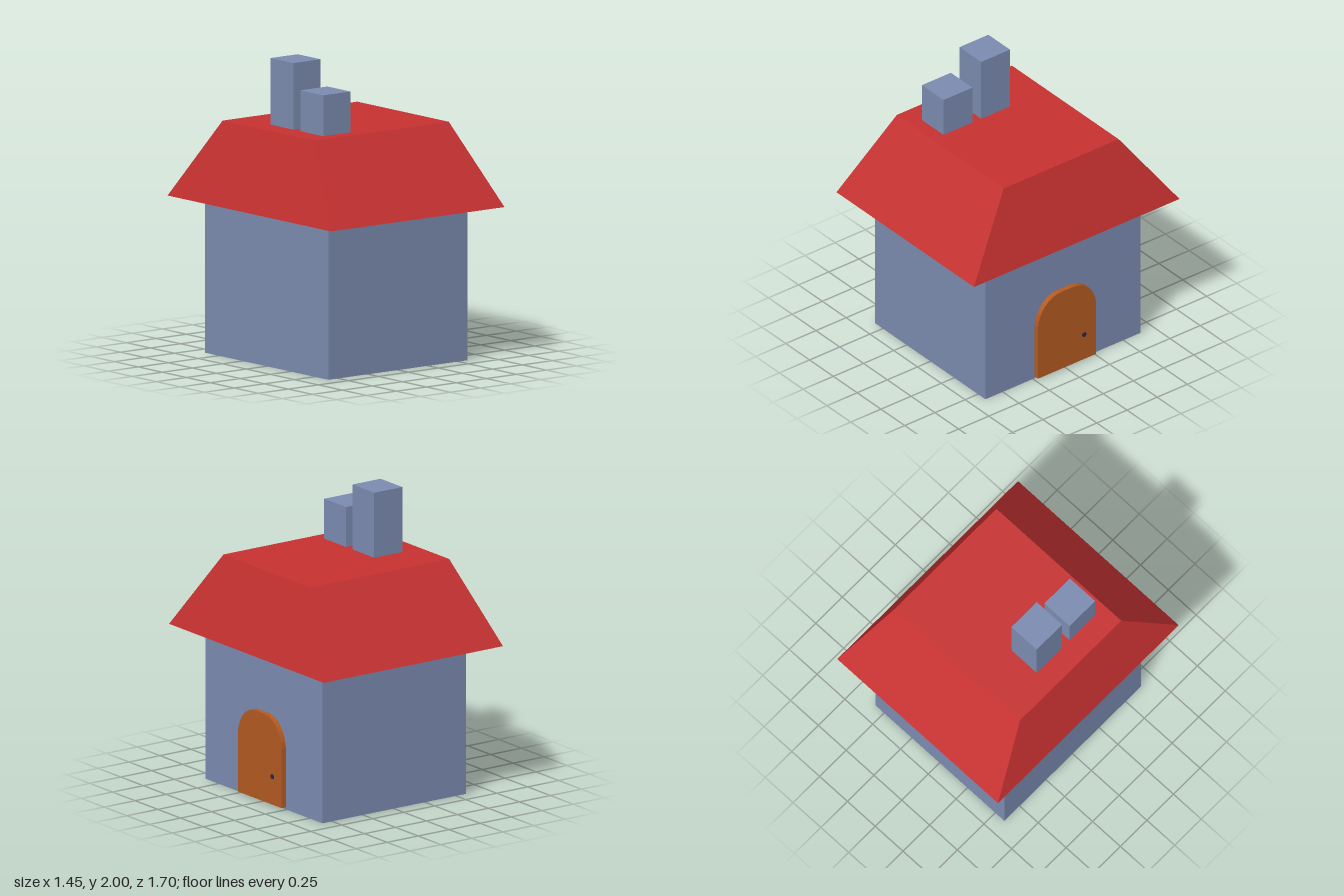
import * as THREE from 'three';

export function createModel() {
  const house = new THREE.Group();
  house.name = 'house';

  const material = (name, color) => {
    const m = new THREE.MeshStandardMaterial({ color });
    m.name = name;
    return m;
  };
  const blue = material('blueWall', 0x7b8bb0);
  blue.side = THREE.DoubleSide;
  const red = material('redRoof', 0xc63131);
  const orange = material('orangeDoor', 0xb45a21);
  const navy = material('darkNavy', 0x20264a);

  const add = (name, geometry, mat) => {
    const mesh = new THREE.Mesh(geometry, mat);
    mesh.name = name;
    house.add(mesh);
    return mesh;
  };
  // Box given by its lower and upper bounds on each axis
  const boxBetween = (x0, x1, y0, y1, z0, z1) =>
    new THREE.BoxGeometry(x1 - x0, y1 - y0, z1 - z0)
      .translate((x0 + x1) / 2, (y0 + y1) / 2, (z0 + z1) / 2);

  // Walls: four sides only, open at the floor and covered by the roof
  const walls = boxBetween(-0.582, 0.578, 0.005, 1.03, -0.643, 0.643);
  const index = Array.from(walls.index.array);
  walls.setIndex([...index.slice(0, 12), ...index.slice(24)]);
  walls.clearGroups();
  add('walls', walls, blue);

  // Roof: a box whose top is drawn in to a flat, smaller rectangle
  let roof = boxBetween(-0.725, 0.72, 1.03, 1.56, -0.853, 0.85);
  const p = roof.attributes.position;
  for (let i = 0; i < p.count; i++) {
    if (p.getY(i) < 1.3) continue;
    p.setX(i, p.getX(i) < 0 ? -0.566 : 0.556);
    p.setZ(i, p.getZ(i) < 0 ? -0.478 : 0.475);
  }
  roof = roof.toNonIndexed();
  roof.computeVertexNormals();
  add('roof', roof, red);

  // Chimneys
  add('tallChimney', boxBetween(-0.417, -0.19, 1.55, 2, -0.166, 0.073), blue);
  add('shortChimney', boxBetween(-0.417, -0.19, 1.55, 1.83, 0.145, 0.385), blue);

  // Arched door on the left side wall, drawn in (-z, y) and turned to face +x
  const shape = new THREE.Shape();
  shape.moveTo(-0.236, 0.02);
  shape.lineTo(0.244, 0.02);
  shape.lineTo(0.244, 0.42);
  shape.bezierCurveTo(0.234, 0.53, 0.155, 0.615, 0.055, 0.615);
  shape.lineTo(-0.047, 0.615);
  shape.bezierCurveTo(-0.147, 0.615, -0.226, 0.53, -0.236, 0.42);
  const door = new THREE.ExtrudeGeometry(shape, { depth: 0.036, bevelEnabled: false, curveSegments: 8 });
  door.rotateY(Math.PI / 2).translate(0.579, 0, 0);
  add('door', door, orange);

  // Door knob
  const knob = new THREE.CylinderGeometry(0.017, 0.017, 0.004, 12).rotateZ(Math.PI / 2);
  add('doorKnob', knob, navy).position.set(0.616, 0.21, -0.145);

  return house;
}
